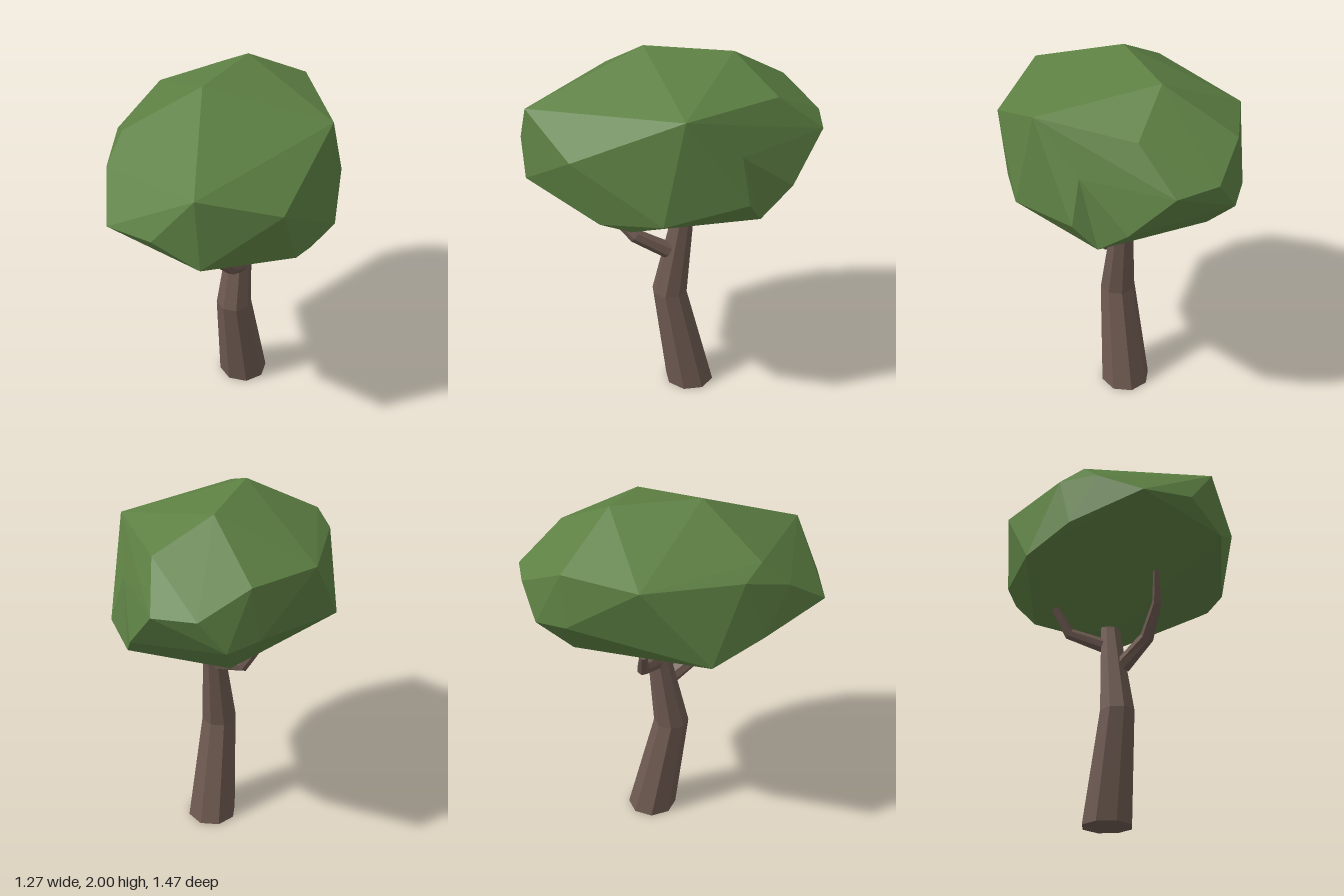
import * as THREE from 'three';
import { ConvexGeometry } from 'three/addons/geometries/ConvexGeometry.js';

const UP = new THREE.Vector3(0, 1, 0);

// Tapered limb: rings of the given radius along a path, closed at both ends.
// Each stop is [x, y, z, radius]; level keeps the rings horizontal.
function limb(stops, sides, level) {
  const centres = stops.map(([x, y, z]) => new THREE.Vector3(x, y, z));
  const last = stops.length - 1;
  const pos = [];
  const index = [];
  centres.forEach((c, i) => {
    const dir = centres[Math.min(i + 1, last)].clone().sub(centres[Math.max(i - 1, 0)]).normalize();
    const q = new THREE.Quaternion().setFromUnitVectors(UP, level ? UP : dir);
    for (let s = 0; s < sides; s++) {
      const a = (s / sides) * Math.PI * 2;
      const p = new THREE.Vector3(Math.sin(a), 0, Math.cos(a)).multiplyScalar(stops[i][3]);
      pos.push(...p.applyQuaternion(q).add(c).toArray());
    }
  });
  for (let i = 0; i < last; i++) {
    for (let s = 0; s < sides; s++) {
      const a = i * sides + s;
      const b = i * sides + ((s + 1) % sides);
      index.push(a, b, b + sides, a, b + sides, a + sides);
    }
  }
  const top = last * sides;
  for (let s = 1; s < sides - 1; s++) {
    index.push(0, s + 1, s);
    index.push(top, top + s, top + s + 1);
  }
  const g = new THREE.BufferGeometry();
  g.setAttribute('position', new THREE.Float32BufferAttribute(pos, 3));
  g.setIndex(index);
  const flat = g.toNonIndexed();
  flat.computeVertexNormals();
  return flat;
}

const hull = (points) => new ConvexGeometry(points.map((p) => new THREE.Vector3(...p)));

export function createModel() {
  const tree = new THREE.Group();
  tree.name = 'tree';
  const bark = new THREE.MeshStandardMaterial({ color: 0x6e5a51, flatShading: true });
  bark.name = 'bark brown';
  const leaf = new THREE.MeshStandardMaterial({ color: 0x5d8043, flatShading: true });
  leaf.name = 'leaf green';

  const add = (name, geometry, material) => {
    const mesh = new THREE.Mesh(geometry, material);
    mesh.name = name;
    tree.add(mesh);
  };

  // Bent trunk
  add('trunk', limb([
    [0.11, 0, -0.067, 0.14], [0.038, 0.6, 0.025, 0.099], [0.085, 1.1, -0.035, 0.058], [0.09, 1.2, -0.04, 0.05],
  ], 8, true), bark);

  // Branches reaching into the crown
  add('frontBranch', limb([
    [0.065, 0.88, 0.05, 0.048], [0.0, 0.99, 0.22, 0.04], [-0.11, 1.13, 0.325, 0.027], [-0.19, 1.28, 0.355, 0.016],
  ], 7), bark);
  add('backBranch', limb([
    [0.07, 1.01, -0.05, 0.042], [-0.02, 1.09, -0.24, 0.034], [-0.09, 1.23, -0.3, 0.022],
  ], 7), bark);
  add('sideBranch', limb([
    [0.09, 1.06, -0.04, 0.042], [0.16, 1.11, -0.05, 0.036], [0.27, 1.2, -0.055, 0.024],
  ], 7), bark);

  // Corners shared by the crown and its bulge
  const shoulder = [0.5, 1.835, 0.22];
  const notch = [0.56, 1.61, -0.07];
  const hem = [0.58, 1.25, -0.18];
  const corner = [0.51, 1.32, 0.35];
  const frontHem = [0.37, 1.26, 0.45];
  const bottom = [0.08, 1.1, -0.02];

  // Main faceted crown
  add('crown', hull([
    shoulder, notch, hem, corner, frontHem, bottom,
    // top
    [-0.13, 2, 0.08], [0.15, 1.985, -0.29], [0.47, 1.835, -0.34],
    // front
    [-0.24, 1.75, 0.705], [0.18, 1.61, 0.675], [-0.44, 1.51, 0.655], [-0.22, 1.38, 0.735], [0.27, 1.29, 0.57],
    // right side
    [-0.64, 1.49, 0.47], [-0.62, 1.66, 0.2], [-0.53, 1.79, 0.085], [-0.55, 1.73, -0.05],
    [-0.61, 1.42, 0.04], [-0.53, 1.33, -0.25],
    // back
    [-0.3, 1.75, -0.51], [0.08, 1.77, -0.67], [0.35, 1.65, -0.705], [0.22, 1.48, -0.735],
    [0.04, 1.5, -0.69], [0.15, 1.29, -0.56], [0.54, 1.64, -0.58], [0.6, 1.4, -0.36],
  ]), leaf);

  // Bulge on the left side, leaving a small notch behind it
  add('crownBulge', hull([shoulder, notch, hem, corner, frontHem, bottom, [0.635, 1.38, -0.07]]), leaf);

  return tree;
}
